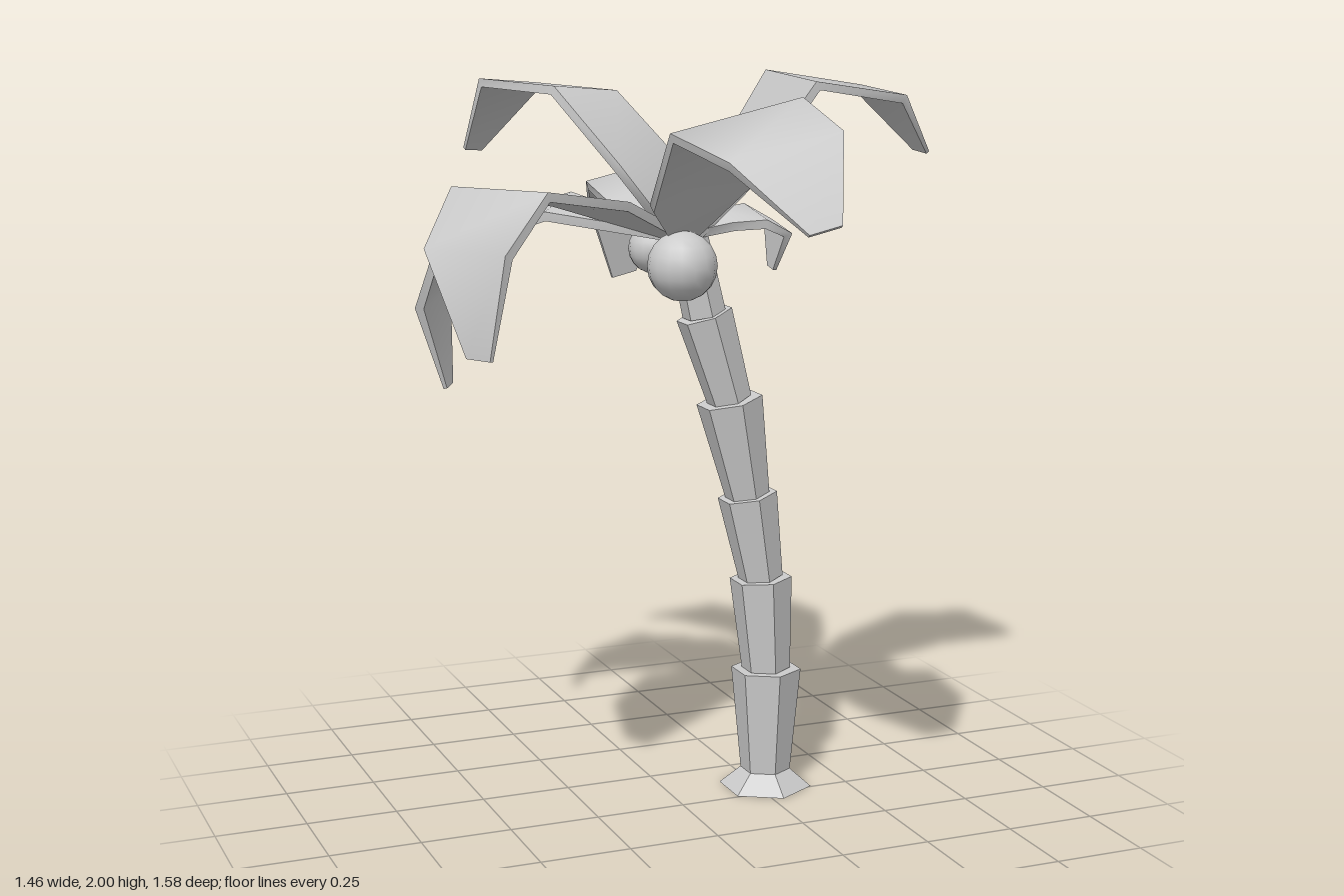
import * as THREE from 'three';
import { toCreasedNormals } from 'three/addons/utils/BufferGeometryUtils.js';

const smoothMat = new THREE.MeshStandardMaterial({ color: 0xcccccc });
const flatMat = new THREE.MeshStandardMaterial({ color: 0xcccccc, flatShading: true });
const V = (a) => new THREE.Vector3(...a);

function addMesh(parent, name, geometry, material) {
  const mesh = new THREE.Mesh(geometry, material);
  mesh.name = name;
  parent.add(mesh);
  return mesh;
}

// Tapered six-sided trunk piece running from point a to point b in the lean plane
function trunkSegment(parent, name, [ax, ay, ra], [bx, by, rb], z) {
  const dx = bx - ax, dy = by - ay;
  const mesh = addMesh(parent, name, new THREE.CylinderGeometry(rb, ra, Math.hypot(dx, dy), 6), flatMat);
  mesh.position.set((ax + bx) / 2, (ay + by) / 2, z);
  mesh.rotation.z = -Math.atan2(dx, dy);
}

// Leaf slab: a box bent along five stations; "side" points to the leaf's left edge
function frond(parent, name, side, path, widths) {
  const pts = path.map(V), left = V(side).normalize(), last = pts.length - 1;
  const normals = pts.map((p, i) => {
    const along = pts[Math.min(i + 1, last)].clone().sub(pts[Math.max(i - 1, 0)]);
    return along.cross(left).normalize();
  });
  const geo = new THREE.BoxGeometry(1, 1, last, 1, 1, last);
  const pos = geo.attributes.position;
  for (let k = 0; k < pos.count; k++) {
    const i = Math.round(pos.getZ(k) + last / 2);
    const thickness = i === last ? 0.01 : 0.025;
    const p = pts[i].clone()
      .addScaledVector(left, pos.getX(k) * widths[i])
      .addScaledVector(normals[i], (pos.getY(k) - 0.5) * thickness);
    pos.setXYZ(k, p.x, p.y, p.z);
  }
  addMesh(parent, name, toCreasedNormals(geo, 1.0), smoothMat);
}

export function createModel() {
  const model = new THREE.Group();
  model.name = 'palmTree';

  // Trunk: flared foot, then stacked pieces that widen upwards
  const trunk = new THREE.Group();
  trunk.name = 'trunk';
  model.add(trunk);
  const z = -0.07;
  trunkSegment(trunk, 'trunkFoot', [0.28, 0, 0.13], [0.28, 0.05, 0.07], z);
  // x, y, radius at the bottom, radius of the piece below at its top
  const joints = [
    [0.28, 0.05, 0.07, 0], [0.28, 0.345, 0.068, 0.098], [0.262, 0.61, 0.062, 0.087],
    [0.22, 0.85, 0.062, 0.083], [0.165, 1.12, 0.062, 0.092], [0.09, 1.36, 0.06, 0.078],
    [0.035, 1.6, 0, 0.055],
  ];
  for (let i = 1; i < joints.length; i++) {
    const [ax, ay, ra] = joints[i - 1], [bx, by, , rb] = joints[i];
    trunkSegment(trunk, 'trunkSegment' + i, [ax, ay, ra], [bx, by, rb], z);
  }

  // Coconuts under the crown
  for (const [name, r, p] of [
    ['frontCoconut', 0.093, [-0.02, 1.51, 0.045]],
    ['backCoconut', 0.068, [-0.01, 1.53, -0.19]],
  ]) {
    addMesh(model, name, new THREE.SphereGeometry(r, 16, 10), smoothMat).position.set(...p);
  }

  // Crown of fronds: left-edge direction, centre line, widths
  const crown = new THREE.Group();
  crown.name = 'crown';
  model.add(crown);
  const wide = [0.06, 0.29, 0.37, 0.31, 0.09];

  frond(crown, 'leftFrond', [0.02, 0.015, -0.38],
    [[0.04, 1.58, -0.06], [0.15, 1.735, -0.06], [0.33, 1.993, -0.05], [0.605, 1.95, -0.045], [0.725, 1.785, -0.04]], wide);
  frond(crown, 'frontFrond', [0.37, 0.08, -0.02],
    [[0.01, 1.58, -0.04], [-0.025, 1.72, 0.18], [-0.025, 1.925, 0.415], [0, 1.865, 0.655], [0.04, 1.68, 0.79]], wide);
  frond(crown, 'backFrond', [-0.34, -0.07, 0.04],
    [[0.03, 1.59, -0.09], [0.015, 1.68, -0.26], [0.06, 1.725, -0.48], [0.125, 1.615, -0.765], [0.125, 1.38, -0.785]],
    [0.06, 0.27, 0.34, 0.25, 0.08]);
  frond(crown, 'highBackFrond', [-0.2, 0.02, 0.12],
    [[0.02, 1.58, -0.07], [-0.035, 1.76, -0.125], [-0.15, 1.955, -0.33], [-0.3, 1.968, -0.555], [-0.37, 1.775, -0.675]],
    [0.06, 0.29, 0.27, 0.235, 0.07]);
  frond(crown, 'rightFrond', [0.14, 0.01, 0.33],
    [[0, 1.59, -0.04], [-0.26, 1.69, 0.01], [-0.545, 1.737, 0.125], [-0.67, 1.597, 0.23], [-0.66, 1.34, 0.3]], wide);
  frond(crown, 'lowBackFrond', [-0.2, -0.03, 0.31],
    [[0, 1.59, -0.08], [-0.26, 1.66, -0.25], [-0.495, 1.56, -0.44], [-0.56, 1.385, -0.48], [-0.53, 1.145, -0.425]],
    [0.06, 0.3, 0.39, 0.26, 0.06]);
  frond(crown, 'smallFrond', [0, 0.03, -0.16],
    [[0.04, 1.59, -0.06], [0.12, 1.63, -0.01], [0.2, 1.642, 0.02], [0.275, 1.6, 0.025], [0.257, 1.487, 0.01]],
    wide.map((w) => w * 0.43));

  return model;
}
